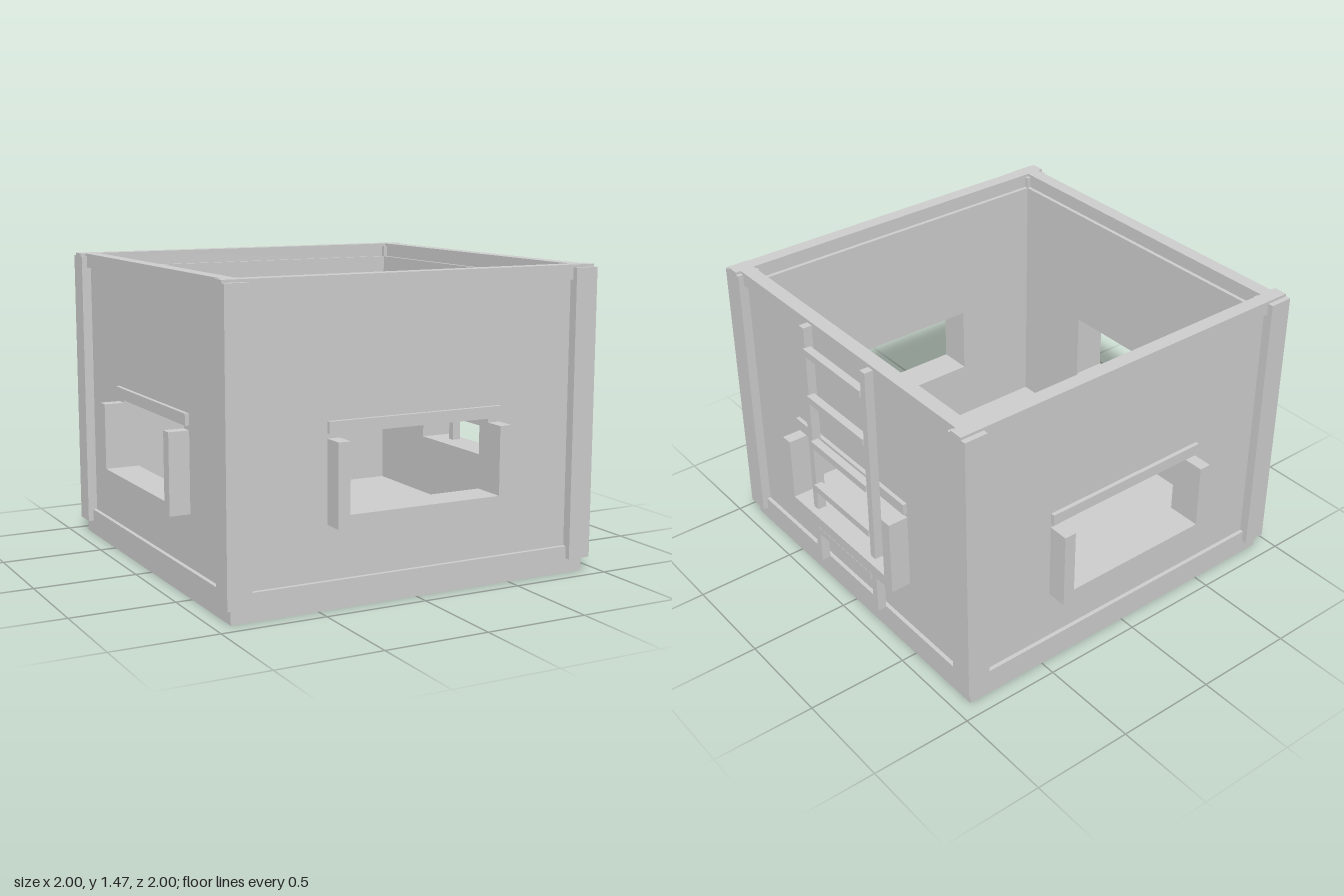
import * as THREE from 'three';

export function createModel() {
  const model = new THREE.Group();
  model.name = 'tower';
  const grey = new THREE.MeshStandardMaterial({ color: 0xcccccc });
  grey.name = 'light grey';

  // Box given by its minimum and maximum corners
  function box(parent, name, [x0, y0, z0], [x1, y1, z1]) {
    const mesh = new THREE.Mesh(new THREE.BoxGeometry(x1 - x0, y1 - y0, z1 - z0), grey);
    mesh.position.set((x0 + x1) / 2, (y0 + y1) / 2, (z0 + z1) / 2);
    mesh.name = name;
    parent.add(mesh);
  }

  function rect(ShapeType, x0, y0, x1, y1) {
    const s = new ShapeType();
    s.moveTo(x0, y0);
    s.lineTo(x1, y0);
    s.lineTo(x1, y1);
    s.lineTo(x0, y1);
    s.closePath();
    return s;
  }

  // Floor slab
  box(model, 'base', [-0.92, 0, -0.92], [0.92, 0.13, 0.92]);

  // Top rim
  const rimShape = rect(THREE.Shape, -0.92, -0.92, 0.92, 0.92);
  rimShape.holes.push(rect(THREE.Path, -0.85, -0.85, 0.85, 0.85));
  const rimGeometry = new THREE.ExtrudeGeometry(rimShape, { depth: 0.07, bevelEnabled: false });
  rimGeometry.rotateX(-Math.PI / 2);
  const rim = new THREE.Mesh(rimGeometry, grey);
  rim.position.y = 1.4;
  rim.name = 'topRim';
  model.add(rim);

  // Four walls, each with a framed window
  const wallShape = rect(THREE.Shape, -0.88, 0.13, 0.88, 1.4);
  wallShape.holes.push(rect(THREE.Path, -0.385, 0.44, 0.385, 0.785));
  const wallGeometry = new THREE.ExtrudeGeometry(wallShape, { depth: 0.07, bevelEnabled: false });
  ['front', 'left', 'back', 'right'].forEach((side, i) => {
    const group = new THREE.Group();
    group.name = side + 'Side';
    group.rotation.y = i * Math.PI / 2;
    const wall = new THREE.Mesh(wallGeometry, grey);
    wall.position.z = 0.83;
    wall.name = 'wall';
    group.add(wall);
    box(group, 'windowSill', [-0.385, 0.38, 0.89], [0.385, 0.44, 1]);
    box(group, 'windowLintel', [-0.445, 0.785, 0.89], [0.445, 0.84, 0.92]);
    box(group, 'windowJamb', [-0.445, 0.38, 0.89], [-0.385, 0.763, 1]);
    box(group, 'windowJamb', [0.385, 0.38, 0.89], [0.445, 0.763, 1]);
    model.add(group);
  });

  // Corner posts with a small raised cap on the outer sides
  for (const sx of [-1, 1]) {
    for (const sz of [-1, 1]) {
      const span = (s, a, b) => (s > 0 ? [a, b] : [-b, -a]);
      const [x0, x1] = span(sx, 0.83, 0.947);
      const [z0, z1] = span(sz, 0.83, 0.947);
      box(model, 'cornerPost', [x0, 0.07, z0], [x1, 1.457, z1]);
      const [cx0, cx1] = span(sx, 0.85, 0.947);
      const [cz0, cz1] = span(sz, 0.85, 0.92);
      box(model, 'postCap', [cx0, 1.45, cz0], [cx1, 1.47, cz1]);
    }
  }

  // Ladder on the left side
  const ladder = new THREE.Group();
  ladder.name = 'ladder';
  box(ladder, 'ladderRail', [0.92, 0.125, 0.225], [0.965, 1.455, 0.262]);
  box(ladder, 'ladderRail', [0.92, 0.125, -0.262], [0.965, 1.455, -0.225]);
  for (let i = 0; i < 5; i++) {
    const y = 0.303 + i * 0.2535;
    box(ladder, 'rung', [0.935, y, -0.227], [0.975, y + 0.036, 0.227]);
  }
  model.add(ladder);

  return model;
}
